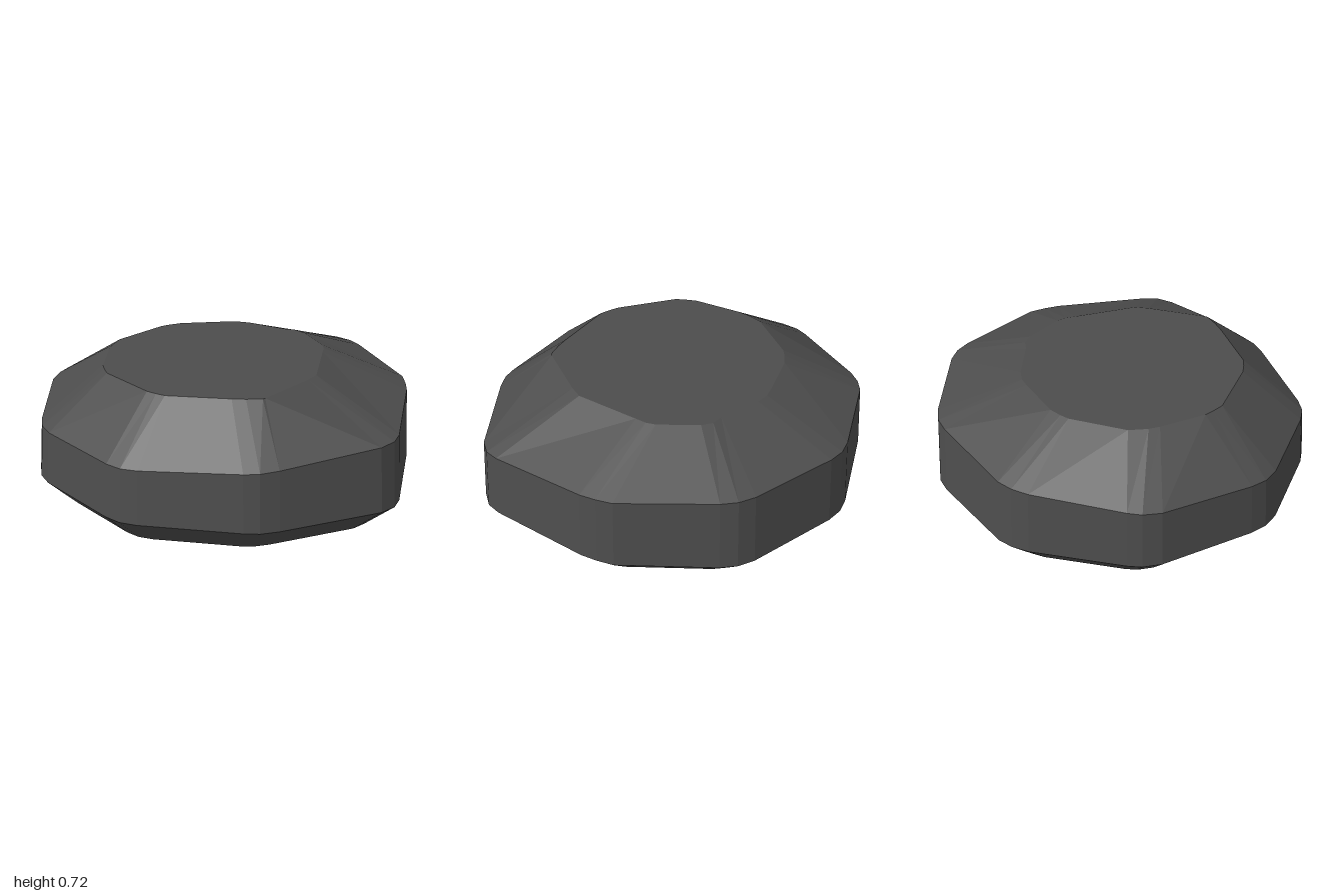
import * as THREE from 'three';

// Nine rounded corners, three points each, running clockwise seen from above: [x, z]
const outline = [
  [-0.09, -0.97], [0, -0.985], [0.09, -0.97],
  [0.56, -0.80], [0.64, -0.75], [0.70, -0.68],
  [0.97, -0.23], [0.99, -0.14], [1.0, -0.05],
  [0.98, 0.50], [0.96, 0.58], [0.90, 0.65],
  [0.43, 0.93], [0.34, 0.97], [0.26, 0.98],
  [-0.26, 0.98], [-0.35, 0.965], [-0.43, 0.92],
  [-0.82, 0.60], [-0.88, 0.52], [-0.91, 0.43],
  [-1.0, -0.08], [-0.99, -0.18], [-0.96, -0.25],
  [-0.71, -0.68], [-0.65, -0.75], [-0.58, -0.80],
];

// Irregular edge of the flat top, matched to the outline point by point
const topEdge = [
  [-0.07, -0.505], [-0.01, -0.515], [0.06, -0.505],
  [0.28, -0.42], [0.34, -0.41], [0.39, -0.37],
  [0.51, -0.18], [0.525, -0.13], [0.525, -0.07],
  [0.525, 0.28], [0.49, 0.35], [0.31, 0.625],
  [0.30, 0.635], [0.22, 0.65], [0.15, 0.655],
  [-0.18, 0.655], [-0.23, 0.635], [-0.28, 0.61],
  [-0.54, 0.39], [-0.57, 0.33], [-0.59, 0.28],
  [-0.62, 0.03], [-0.62, -0.03], [-0.60, -0.13],
  [-0.42, -0.38], [-0.38, -0.41], [-0.32, -0.445],
];

// Lift a flat loop into space with a scale and a height rule
const ring = (points, scale, height) =>
  points.map(([x, z]) => [x * scale, height(x * scale, z * scale), z * scale]);

function meshFrom(name, triangles, material) {
  const geometry = new THREE.BufferGeometry();
  geometry.setAttribute('position', new THREE.Float32BufferAttribute(triangles.flat(), 3));
  geometry.computeVertexNormals();
  const mesh = new THREE.Mesh(geometry, material);
  mesh.name = name;
  return mesh;
}

// Band of faces between a lower and an upper ring
function band(lower, upper) {
  const out = [];
  lower.forEach((a, i) => {
    const j = (i + 1) % lower.length;
    out.push(lower[j], a, upper[i], lower[j], upper[i], upper[j]);
  });
  return out;
}

// Flat cap fanned from its centre
function cap(loop, centre, up) {
  const out = [];
  loop.forEach((a, i) => {
    const b = loop[(i + 1) % loop.length];
    out.push(centre, ...(up ? [b, a] : [a, b]));
  });
  return out;
}

export function createModel() {
  const stone = new THREE.MeshStandardMaterial({ color: 0x4d4d4d });
  stone.name = 'darkStone';

  const topHeight = (x) => 0.709 + 0.014 * x;
  const base = ring(outline, 0.843, () => 0);
  const belly = ring(outline, 1, () => 0.155);
  const rim = ring(outline, 0.98, (x, z) => 0.495 + 0.04 * x - 0.05 * z); // tilted rim
  const crown = ring(topEdge, 1, topHeight);

  const rock = new THREE.Group();
  rock.name = 'rock';
  rock.add(
    meshFrom('underside', cap(base, [0, 0, 0], false), stone),
    meshFrom('lowerBevel', band(base, belly), stone),
    meshFrom('sides', band(belly, rim), stone),
    meshFrom('upperSlope', band(rim, crown), stone),
    meshFrom('flatTop', cap(crown, [0, topHeight(0), 0], true), stone),
  );
  return rock;
}
